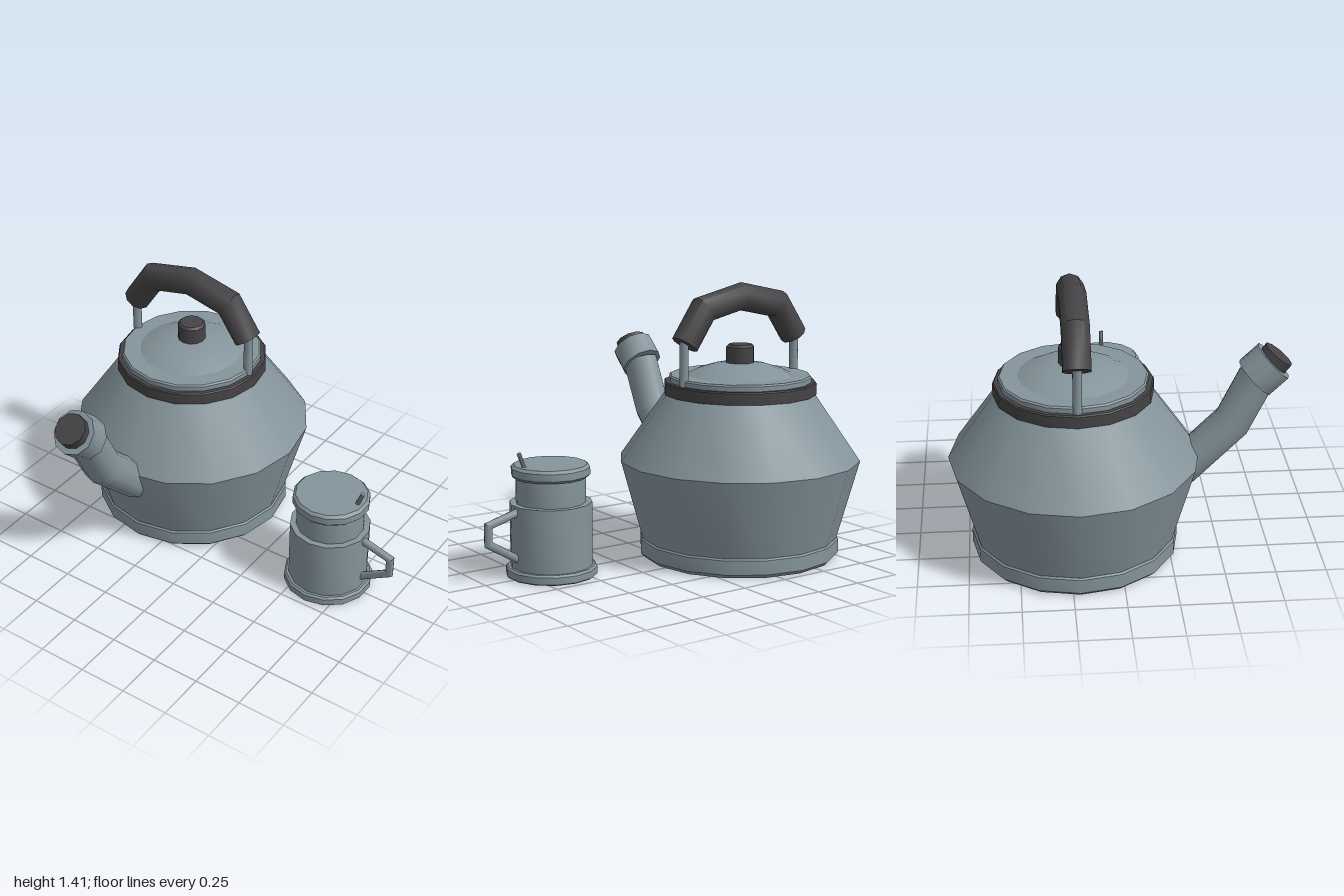
import * as THREE from 'three';
import { toCreasedNormals } from 'three/addons/utils/BufferGeometryUtils.js';

const steel = new THREE.MeshStandardMaterial({ name: 'steel grey', color: 0x84949b });
const dark = new THREE.MeshStandardMaterial({ name: 'dark grip', color: 0x454345 });
const CREASE = 0.7;

function add(parent, name, geometry, material) {
  const mesh = new THREE.Mesh(toCreasedNormals(geometry, CREASE), material);
  mesh.name = name;
  parent.add(mesh);
  return mesh;
}

// Turned solid; profile of [radius, height] runs from bottom to top
function turned(profile, sides) {
  return new THREE.LatheGeometry(profile.map(([r, y]) => new THREE.Vector2(r, y)), sides);
}

// Plain disc-like solid with optional bevels at the bottom and top
function drum(r, y0, y1, sides, b0 = 0, b1 = 0) {
  const profile = [[0, y0]];
  if (b0) profile.push([r - b0, y0], [r, y0 + b0]); else profile.push([r, y0]);
  if (b1) profile.push([r, y1 - b1], [r - b1, y1]); else profile.push([r, y1]);
  profile.push([0, y1]);
  return turned(profile, sides);
}

// Mitred round bar along a flat path lying perpendicular to n
function bentBar(points, radius, n, sides = 10) {
  const path = points.map((p) => new THREE.Vector3(...p));
  const last = path.length - 1;
  const pos = [], index = [];
  path.forEach((p, i) => {
    const a = path[Math.max(i - 1, 0)], b = path[Math.min(i + 1, last)];
    const tin = (i ? p.clone().sub(a) : b.clone().sub(p)).normalize();
    const tout = (i < last ? b.clone().sub(p) : tin.clone()).normalize();
    const t = tin.clone().add(tout).normalize();
    const side = n.clone().cross(t).multiplyScalar(1 / t.dot(tin));
    for (let j = 0; j < sides; j++) {
      const w = (j / sides) * Math.PI * 2;
      pos.push(...p.clone()
        .addScaledVector(side, radius * Math.cos(w))
        .addScaledVector(n, radius * Math.sin(w)).toArray());
    }
  });
  const start = pos.length / 3, end = start + 1;
  pos.push(...path[0].toArray(), ...path[last].toArray());
  for (let j = 0; j < sides; j++) {
    const k = (j + 1) % sides;
    for (let i = 0; i < last; i++) {
      const a = i * sides, b = a + sides;
      index.push(a + j, a + k, b + k, a + j, b + k, b + j);
    }
    index.push(start, k, j, end, last * sides + j, last * sides + k);
  }
  const g = new THREE.BufferGeometry();
  g.setAttribute('position', new THREE.Float32BufferAttribute(pos, 3));
  g.setIndex(index);
  return g;
}

const X = new THREE.Vector3(1, 0, 0);
const Z = new THREE.Vector3(0, 0, 1);

function makeKettle() {
  const kettle = new THREE.Group();
  kettle.name = 'kettle';
  kettle.position.set(-0.378, 0, -0.215);

  // Body and rims
  add(kettle, 'kettleBase', drum(0.517, 0, 0.1, 16, 0.02, 0.008), steel);
  add(kettle, 'kettleBody', turned([[0, 0.09], [0.505, 0.09], [0.62, 0.505], [0.38, 0.85], [0, 0.85]], 16), steel);
  add(kettle, 'collar', drum(0.392, 0.842, 0.905, 16, 0, 0.006), dark);

  // Lid with shallow dome and knob
  add(kettle, 'lidPlate', drum(0.366, 0.9, 0.937, 16, 0, 0.008), steel);
  add(kettle, 'lidDome', turned([[0.285, 0.93], [0.22, 0.963], [0.14, 0.988], [0.07, 0.999], [0, 1.002]], 16), steel);
  add(kettle, 'lidKnob', drum(0.072, 0.98, 1.092, 12, 0, 0.012), dark);

  // Posts and arched grip
  for (const s of [-1, 1]) {
    add(kettle, 'handlePost', bentBar([[s * 0.354, 0.88, 0], [s * 0.354, 1.13, 0]], 0.023, Z), steel);
  }
  add(kettle, 'handleGrip', bentBar(
    [[-0.35, 1.115, 0], [-0.235, 1.283, 0], [0, 1.335, 0], [0.235, 1.283, 0], [0.35, 1.115, 0]],
    0.07, Z), dark);

  // Spout rising towards the front, with a collar and dark tip
  const spout = new THREE.Group();
  spout.name = 'spout';
  kettle.add(spout);
  add(spout, 'spoutTube', bentBar([[0, 0.385, 0.515], [0, 0.65, 0.78], [0, 0.9, 0.9]], 0.096, X), steel);
  add(spout, 'spoutCollar', bentBar([[0, 0.885, 0.883], [0, 0.971, 0.973]], 0.113, X), steel);
  add(spout, 'spoutTip', bentBar([[0, 0.96, 0.962], [0, 1.006, 0.998]], 0.083, X), dark);
  return kettle;
}

function makeMug() {
  const mug = new THREE.Group();
  mug.name = 'mug';
  mug.position.set(0.627, 0, 0);

  // Stacked body
  add(mug, 'mugBase', drum(0.228, 0, 0.05, 14, 0.006, 0.01), steel);
  add(mug, 'mugBody', drum(0.205, 0.04, 0.368, 14), steel);
  add(mug, 'mugNeck', drum(0.174, 0.36, 0.5, 14), steel);
  add(mug, 'mugLid', drum(0.196, 0.495, 0.557, 14, 0.012, 0.014), steel);

  // Angular side handle and thumb lever
  add(mug, 'mugHandle', bentBar(
    [[0.19, 0.338, 0], [0.353, 0.292, 0], [0.353, 0.2, 0], [0.19, 0.102, 0]], 0.02, Z), steel);
  add(mug, 'lidLever', bentBar([[0.145, 0.545, 0], [0.177, 0.628, 0]], 0.011, Z, 8), steel);
  return mug;
}

export function createModel() {
  const model = new THREE.Group();
  model.name = 'kettleAndMug';
  model.add(makeKettle(), makeMug());
  return model;
}
